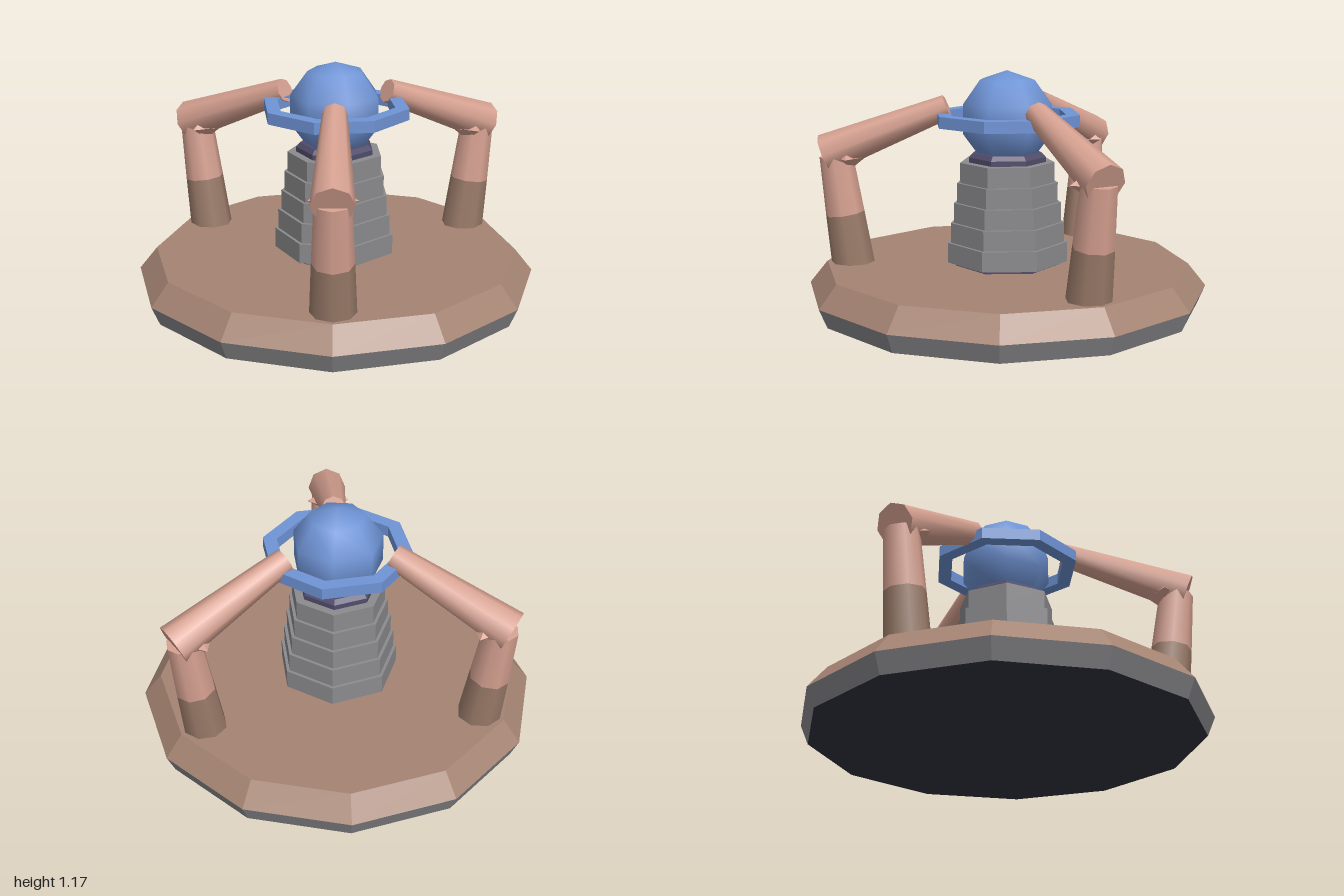
import * as THREE from 'three';

const mat = (name, color, opts = {}) => {
  const m = new THREE.MeshStandardMaterial({ color, ...opts });
  m.name = name;
  return m;
};

export function createModel() {
  const flat = { flatShading: true };
  const earth = mat('earth brown', 0xa58473, flat);
  const stone = mat('stone grey', 0x8b8b8e, flat);
  const dark = mat('underside dark', 0x30333f, flat);
  const neckPurple = mat('neck purple', 0x504c6a, flat);
  const ringBlue = mat('ring blue', 0x6f94d6, flat);
  const orbBlue = mat('orb blue', 0x6f94d6);
  const skin = mat('skin pink', 0xd6a191);
  const muddy = mat('muddy brown', 0x9a7b69);

  const model = new THREE.Group();
  const add = (parent, name, geometry, material, x = 0, y = 0, z = 0) => {
    const mesh = new THREE.Mesh(geometry, material);
    mesh.name = name;
    mesh.position.set(x, y, z);
    parent.add(mesh);
    return mesh;
  };
  // Vertical prism or frustum standing on y0, with a corner pointing at +x
  const tier = (name, rTop, rBottom, y0, y1, sides, material) =>
    add(model, name, new THREE.CylinderGeometry(rTop, rBottom, y1 - y0, sides, 1, false, Math.PI / 2),
      material, 0, (y0 + y1) / 2, 0);

  // Twelve-sided base: grey lower rim with dark underside, brown bevelled top
  tier('baseRim', 1, 0.96, 0, 0.095, 12, [stone, stone, dark]);
  tier('basePlatform', 0.91, 1, 0.095, 0.207, 12, earth);

  // Seven-sided stepped column
  tier('columnFoot', 0.265, 0.265, 0.2, 0.225, 7, neckPurple);
  for (let i = 0; i < 5; i++) {
    const r = 0.305 - i * 0.0165;
    tier('columnTier' + (i + 1), r, r, 0.225 + i * 0.1, 0.325 + i * 0.1, 7, stone);
  }
  tier('neckCollar', 0.195, 0.195, 0.725, 0.75, 7, neckPurple);
  tier('neckCollarTop', 0.175, 0.195, 0.75, 0.772, 7, neckPurple);

  // Orb with a ring around it
  add(model, 'orb', new THREE.SphereGeometry(0.235, 7, 5, Math.PI), orbBlue, 0, 0.94, 0);
  const ringProfile = [[0.3, 0.91], [0.37, 0.91], [0.37, 0.967], [0.3, 0.967], [0.3, 0.91]]
    .map(([x, y]) => new THREE.Vector2(x, y));
  add(model, 'ring', new THREE.LatheGeometry(ringProfile, 8), ringBlue);

  // Tapered limb between two points of the x-y plane
  const limb = (parent, name, a, b, ra, rb, material) => {
    const start = new THREE.Vector3(a[0], a[1], 0);
    const axis = new THREE.Vector3(b[0], b[1], 0).sub(start);
    const mesh = add(parent, name, new THREE.CylinderGeometry(rb, ra, axis.length(), 8), material);
    mesh.position.copy(start).addScaledVector(axis, 0.5);
    mesh.quaternion.setFromUnitVectors(new THREE.Vector3(0, 1, 0), axis.normalize());
    return mesh;
  };

  // Three bent arms reaching in from the base towards the orb
  for (let i = 0; i < 3; i++) {
    const arm = new THREE.Group();
    arm.name = 'arm' + (i + 1);
    arm.rotation.y = i * Math.PI * 2 / 3;
    limb(arm, 'muddyLowerArm', [0.778, 0.19], [0.814, 0.455], 0.109, 0.098, muddy);
    limb(arm, 'cleanLowerArm', [0.814, 0.455], [0.853, 0.75], 0.098, 0.084, skin);
    limb(arm, 'upperArm', [0.905, 0.755], [0.295, 0.995], 0.1, 0.06, skin);
    // Pointed fold showing on both sides of the elbow
    add(arm, 'elbow', new THREE.OctahedronGeometry(1), skin, 0.79, 0.74, 0).scale.set(0.085, 0.07, 0.113);
    model.add(arm);
  }
  return model;
}
